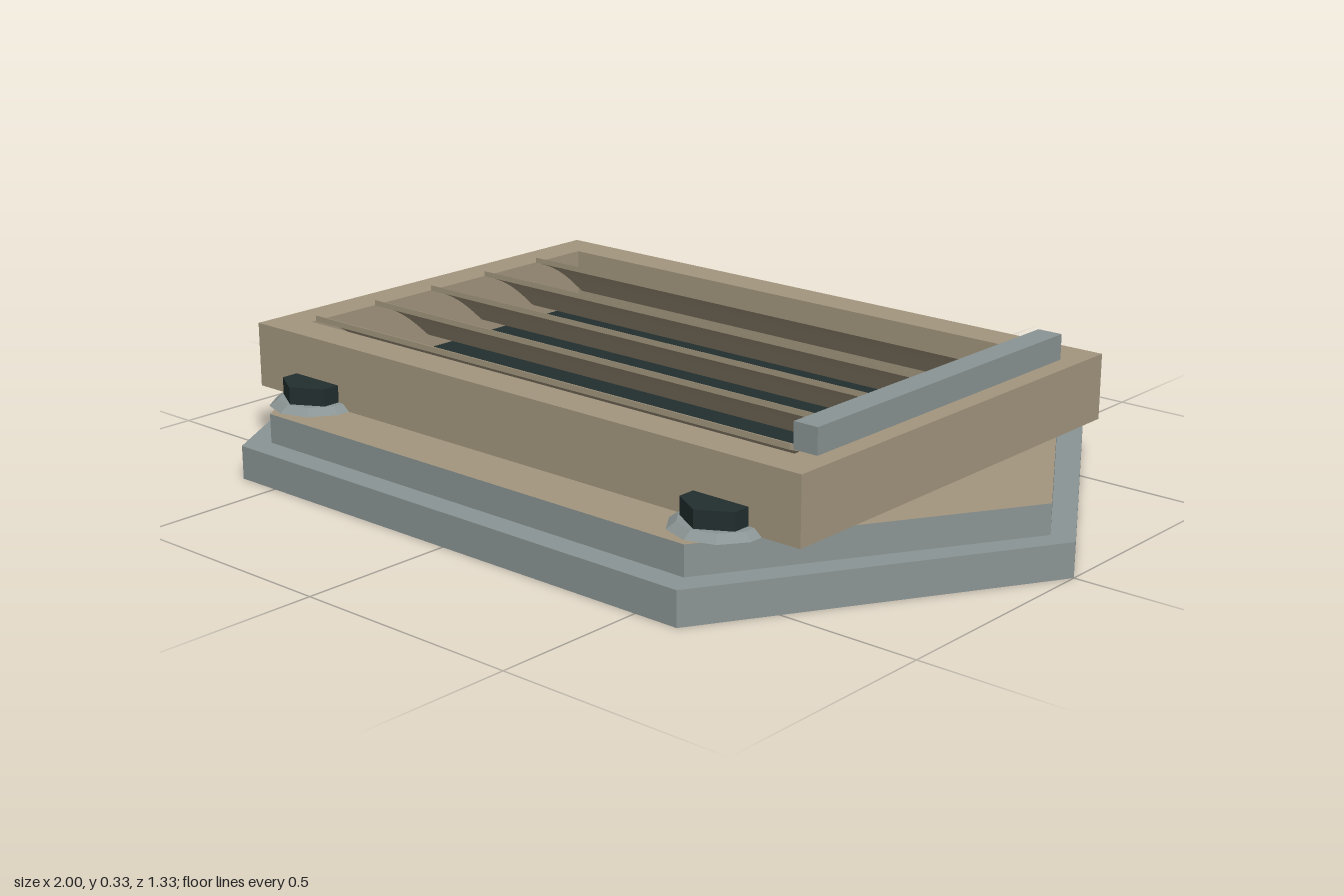
import * as THREE from 'three';

const mat = (name, color) => {
  const m = new THREE.MeshStandardMaterial({ color });
  m.name = name;
  return m;
};

export function createModel() {
  const root = new THREE.Group();
  root.name = 'louvredVent';
  const grey = mat('steelGrey', 0x8b9494);
  const tan = mat('sandTan', 0xa3967e);
  const dark = mat('darkIron', 0x222e2e);

  const add = (name, geometry, material, x = 0, y = 0, z = 0, parent = root) => {
    const mesh = new THREE.Mesh(geometry, material);
    mesh.name = name;
    mesh.position.set(x, y, z);
    parent.add(mesh);
    return mesh;
  };
  const outline = (pts) => new THREE.Shape(pts.map(([x, y]) => new THREE.Vector2(x, y)));
  const slab = (shape, height) =>
    new THREE.ExtrudeGeometry(shape, { depth: height, bevelEnabled: false }).rotateX(-Math.PI / 2);
  const hexagon = (tip, cx, cz) =>
    outline([[tip, 0], [cx, cz], [-cx, cz], [-tip, 0], [-cx, -cz], [cx, -cz]]);
  const rect = (x0, x1, z0, z1) => [[x0, z0], [x1, z0], [x1, z1], [x0, z1]];

  // Stepped six-sided base with a tan upper deck
  add('basePlate', slab(hexagon(1, 0.6, 0.667), 0.072), grey);
  add('upperPlate', slab(hexagon(0.945, 0.57, 0.613), 0.063), [tan, grey], 0, 0.072, 0);

  // Open rectangular frame
  const frame = outline(rect(-0.74, 0.74, -0.495, 0.495));
  frame.holes.push(outline(rect(-0.66, 0.66, -0.415, 0.415)));
  add('frame', slab(frame, 0.14), tan, 0, 0.135, 0);
  add('ventFloor', new THREE.BoxGeometry(1.32, 0.008, 0.83), dark, 0, 0.139, 0);

  // Five curved slats, low at the back and raised at the front
  const N = 12, top = [], under = [];
  for (let i = 0; i <= N; i++) {
    const t = i / N;
    const s = 0.08 - 0.155 * t;
    const y = 0.19 + 0.1 * t + 0.014 * Math.sin(Math.PI * t);
    top.push([s, y]);
    under.unshift([s, y - 0.012]);
  }
  const slatGeo = new THREE.ExtrudeGeometry(outline([...top, ...under]), {
    depth: 1.295, bevelEnabled: false,
  }).rotateY(Math.PI / 2);
  for (let i = -2; i <= 2; i++) {
    const z = i * 0.168;
    add('slat', slatGeo, tan, -0.65, 0, z);
    // Pivot lug and pin joining the slat to the control bar
    add('slatLug', new THREE.BoxGeometry(0.03, 0.035, 0.014), grey, 0.635, 0.272, z - 0.013);
    add('slatPin', new THREE.CylinderGeometry(0.009, 0.009, 0.03, 8).rotateX(Math.PI / 2),
      grey, 0.63, 0.281, z - 0.013);
  }
  add('controlBar', new THREE.BoxGeometry(0.055, 0.054, 0.8), grey, 0.673, 0.303, 0);

  // Corner bolts, half tucked under the frame
  for (const x of [-0.555, 0.555]) for (const z of [-0.495, 0.495]) {
    const bolt = new THREE.Group();
    bolt.name = 'bolt';
    bolt.position.set(x, 0.135, z);
    root.add(bolt);
    const washer = new THREE.CylinderGeometry(0.083, 0.102, 0.014, 10).toNonIndexed();
    washer.computeVertexNormals();
    add('washer', washer, grey, 0, 0.007, 0, bolt);
    const head = new THREE.CylinderGeometry(0.076, 0.076, 0.04, 6).toNonIndexed();
    head.computeVertexNormals();
    add('boltHead', head, dark, 0, 0.031, 0, bolt);
  }
  return root;
}
